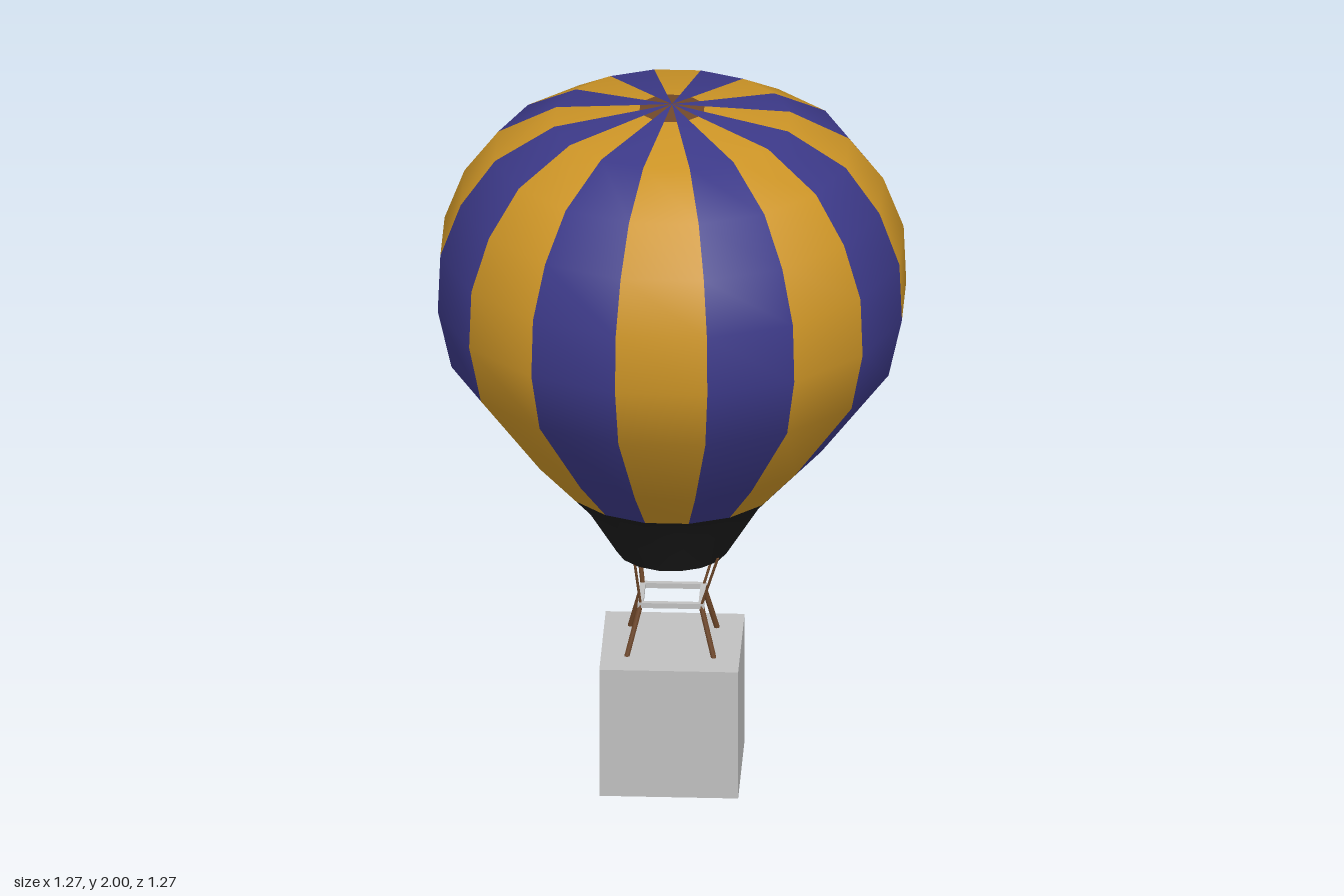
import * as THREE from 'three';

function material(name, color, side = THREE.FrontSide) {
  const m = new THREE.MeshStandardMaterial({ color, side });
  m.name = name;
  return m;
}

export function createModel() {
  const orange = material('orange fabric', 0xcc9426, THREE.DoubleSide);
  const blue = material('blue fabric', 0x3c3988, THREE.DoubleSide);
  const black = material('black fabric', 0x1c1c1c, THREE.DoubleSide);
  const brown = material('brown rope', 0x70482a, THREE.DoubleSide);
  const gray = material('gray basket', 0xc0c0c0);

  const model = new THREE.Group();
  model.name = 'hotAirBalloon';
  const add = (parent, name, geometry, mat) => {
    const mesh = new THREE.Mesh(geometry, mat);
    mesh.name = name;
    parent.add(mesh);
    return mesh;
  };

  // Profiles are measured at the flat of a side, then widened to the corners
  const SIDES = 16;
  const STEP = (Math.PI * 2) / SIDES;
  const widen = 1 / Math.cos(STEP / 2);
  const profile = (pairs) => pairs.map(([r, y]) => new THREE.Vector2(r * widen, y));
  const envelopeProfile = profile([
    [0.30, 0.875], [0.413, 1.0], [0.598, 1.25], [0.635, 1.42], [0.628, 1.587],
    [0.573, 1.735], [0.48, 1.862], [0.32, 1.954], [0.088, 1.987],
  ]);
  const crownProfile = profile([[0.088, 1.987], [0, 2.0]]);
  const skirtProfile = profile([[0.15, 0.662], [0.238, 0.806], [0.30, 0.875]]);

  // Envelope of alternating gores, with brown tips on the orange ones
  const envelope = new THREE.Group();
  envelope.name = 'envelope';
  model.add(envelope);
  for (let k = 0; k < SIDES; k++) {
    const start = (k - 0.5) * STEP;
    const even = k % 2 === 0;
    add(envelope, 'gore', new THREE.LatheGeometry(envelopeProfile, 1, start, STEP), even ? orange : blue);
    add(envelope, 'crownTip', new THREE.LatheGeometry(crownProfile, 1, start, STEP), even ? brown : blue);
  }

  // Open skirt at the mouth
  add(model, 'skirt', new THREE.LatheGeometry(skirtProfile, SIDES, -STEP / 2), black);

  // Basket
  add(model, 'basket', new THREE.BoxGeometry(0.38, 0.38, 0.38), gray).position.set(0, 0.19, 0.003);

  // Load frame between basket and skirt
  const FX = 0.083, FZ = 0.065, FY = 0.52, BAR = 0.015;
  for (const s of [-1, 1]) {
    add(model, 'frameBar', new THREE.BoxGeometry(FX * 2 + BAR, BAR, BAR), gray).position.set(0, FY, s * FZ);
    add(model, 'frameBar', new THREE.BoxGeometry(BAR, BAR, FZ * 2 - BAR), gray).position.set(s * FX, FY, 0);
  }

  // Straight rod from a to b
  const rod = (name, a, b, radius) => {
    const dir = b.clone().sub(a);
    const mesh = add(model, name, new THREE.CylinderGeometry(radius, radius, dir.length(), 6), brown);
    mesh.position.copy(a).add(b).multiplyScalar(0.5);
    mesh.quaternion.setFromUnitVectors(new THREE.Vector3(0, 1, 0), dir.normalize());
  };

  // Splayed posts below the frame and ropes up to the skirt
  for (const sx of [-1, 1]) {
    for (const sz of [-1, 1]) {
      const corner = new THREE.Vector3(sx * FX, FY, sz * FZ);
      rod('basketPost', new THREE.Vector3(sx * 0.121, 0.37, sz * 0.101), corner, 0.008);
      const thick = sx < 0 && sz < 0;
      const top = new THREE.Vector3(sx > 0 ? 0.13 : -0.1, 0.68, sz > 0 ? 0.1 : -0.085);
      rod('skirtRope', corner, top, thick ? 0.007 : 0.004);
    }
  }

  return model;
}
